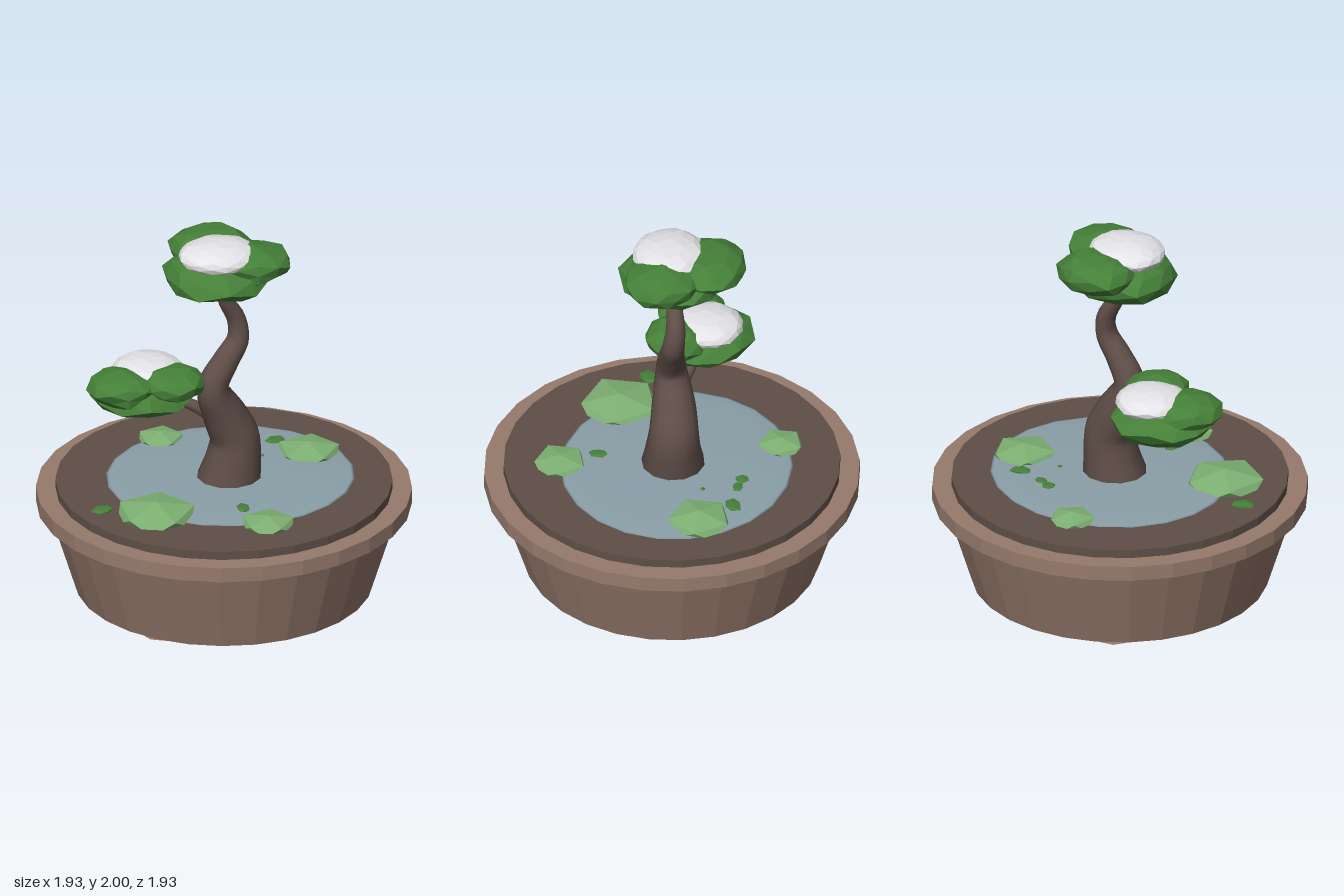
import * as THREE from 'three';

const mat = (name, color, flat = true) => {
  const m = new THREE.MeshStandardMaterial({ color, flatShading: flat });
  m.name = name;
  return m;
};

export function createModel() {
  const root = new THREE.Group();
  root.name = 'bonsai';
  const clay = mat('clay', 0x967a6c);
  const soilMat = mat('soil', 0x5e4f47);
  const bark = mat('bark', 0x62504a, false);
  const leaf = mat('leaf', 0x458038);
  const snowMat = mat('snow', 0xe4e4e8);
  const mossMat = mat('moss', 0x7db072);
  const iceMat = mat('ice', 0x8a9fa8, false);

  const add = (name, geo, material, pos = [0, 0, 0], parent = root) => {
    const m = new THREE.Mesh(geo, material);
    m.name = name;
    m.position.set(...pos);
    parent.add(m);
    return m;
  };
  // Cylinder spanning y0..y1
  const drum = (name, rTop, rBottom, y0, y1, material) =>
    add(name, new THREE.CylinderGeometry(rTop, rBottom, y1 - y0, 28), material, [0, (y0 + y1) / 2, 0]);

  // Pot
  drum('potBody', 0.91, 0.765, 0.05, 0.515, clay);
  drum('potRim', 0.967, 0.967, 0.51, 0.59, clay);
  drum('soil', 0.867, 0.867, 0.55, 0.635, soilMat);
  for (const x of [-0.4, 0.4]) for (const z of [-0.4, 0.4])
    add('potFoot', new THREE.CylinderGeometry(0.1, 0.13, 0.06, 8), clay, [x, 0.03, z]);

  // Shallow frozen pool
  const ice = add('icePool', new THREE.SphereGeometry(1, 22, 6, 0, Math.PI * 2, 0, Math.PI / 2), iceMat, [0.04, 0.633, -0.03]);
  ice.scale.set(0.65, 0.02, 0.605);

  // Tapered tube through points [x, y, z, radius]
  const taperedTube = (pts, rings, sides) => {
    const curve = new THREE.CatmullRomCurve3(pts.map(p => new THREE.Vector3(p[0], p[1], p[2])));
    const geo = new THREE.TubeGeometry(curve, rings, 1, sides);
    const pos = geo.attributes.position, v = new THREE.Vector3();
    for (let i = 0; i <= rings; i++) {
      const c = curve.getPointAt(i / rings);
      const k = curve.getUtoTmapping(i / rings) * (pts.length - 1);
      const a = Math.min(Math.floor(k), pts.length - 2);
      const r = THREE.MathUtils.lerp(pts[a][3], pts[a + 1][3], k - a);
      for (let j = 0; j <= sides; j++) {
        const n = i * (sides + 1) + j;
        v.fromBufferAttribute(pos, n).sub(c).multiplyScalar(r).add(c);
        pos.setXYZ(n, v.x, v.y, v.z);
      }
    }
    return geo;
  };
  add('trunk', taperedTube([
    [0.025, 0.6, -0.01, 0.175], [0.05, 0.73, -0.015, 0.148], [0.06, 0.86, -0.02, 0.13],
    [0.005, 1.0, -0.01, 0.115], [-0.06, 1.17, 0.012, 0.082], [0.01, 1.31, 0, 0.068],
    [0.078, 1.42, -0.02, 0.058], [0.07, 1.53, -0.03, 0.05], [0.005, 1.66, -0.01, 0.038],
    [-0.02, 1.78, 0, 0.03],
  ], 36, 12), bark);
  add('branch', taperedTube([
    [-0.03, 0.98, -0.01, 0.045], [-0.14, 1.045, -0.04, 0.032], [-0.25, 1.09, -0.07, 0.027], [-0.37, 1.15, -0.1, 0.02],
  ], 10, 8), bark);

  // Squashed faceted blob; the offset depends only on position so faces stay joined
  const blob = (name, material, pos, size, detail, parent, jitter = 0.07) => {
    const geo = new THREE.IcosahedronGeometry(1, detail);
    const p = geo.attributes.position, v = new THREE.Vector3();
    for (let i = 0; i < p.count; i++) {
      v.fromBufferAttribute(p, i);
      const s = 1 + jitter * Math.sin(v.x * 7 + pos[0] * 19 + v.y * 5 + v.z * 9);
      p.setXYZ(i, v.x * s * size[0], v.y * s * size[1], v.z * s * size[2]);
    }
    geo.computeVertexNormals();
    return add(name, geo, material, pos, parent);
  };

  // Foliage pads with snow caps
  const pads = [
    { name: 'crownPad',
      lobes: [[[-0.03, 1.81, 0], [0.29, 0.118, 0.27]], [[0.14, 1.875, 0.03], [0.2, 0.095, 0.2]],
        [[-0.03, 1.88, -0.18], [0.225, 0.095, 0.2]]],
      snow: [[-0.03, 1.925, 0.02], [0.21, 0.074, 0.19]] },
    { name: 'sidePad',
      lobes: [[[-0.42, 1.14, -0.09], [0.28, 0.103, 0.26]], [[-0.53, 1.205, -0.02], [0.18, 0.09, 0.19]],
        [[-0.27, 1.22, 0.02], [0.165, 0.085, 0.17]]],
      snow: [[-0.375, 1.24, -0.12], [0.185, 0.07, 0.19]] },
  ];
  for (const pad of pads) {
    const g = new THREE.Group();
    g.name = pad.name;
    root.add(g);
    for (const [pos, size] of pad.lobes) blob('foliageLobe', leaf, pos, size, 1, g);
    blob('snowCap', snowMat, ...pad.snow, 2, g, 0.02);
  }

  // Five-sided moss mounds [x, z, radius, height]
  for (const [x, z, r, h] of [[-0.43, 0.34, 0.225, 0.072], [0.49, -0.22, 0.18, 0.062],
    [0.11, 0.565, 0.15, 0.046], [-0.22, -0.53, 0.13, 0.045]]) {
    const geo = new THREE.IcosahedronGeometry(1, 0);
    geo.rotateZ(-Math.atan(2 / (1 + Math.sqrt(5))));
    geo.scale(r, h, r);
    add('mossMound', geo, mossMat, [x, 0.637, z]);
  }

  // Fallen leaf clumps [x, z, half length, half width, turn]
  for (const [x, z, a, b, turn] of [[-0.685, 0.235, 0.065, 0.05, 0.6], [0.35, -0.37, 0.06, 0.045, 0.5],
    [0.02, 0.385, 0.035, 0.055, 0], [0.12, -0.385, 0.04, 0.04, 0.8], [0.19, -0.375, 0.045, 0.03, 0],
    [0.24, -0.2, 0.02, 0.014, 0]]) {
    const inPool = x > -0.6;
    blob('fallenLeaves', leaf, [x, inPool ? 0.647 : 0.638, z], [a, 0.012, b], 0, root, 0.1).rotation.y = turn;
  }
  return root;
}
